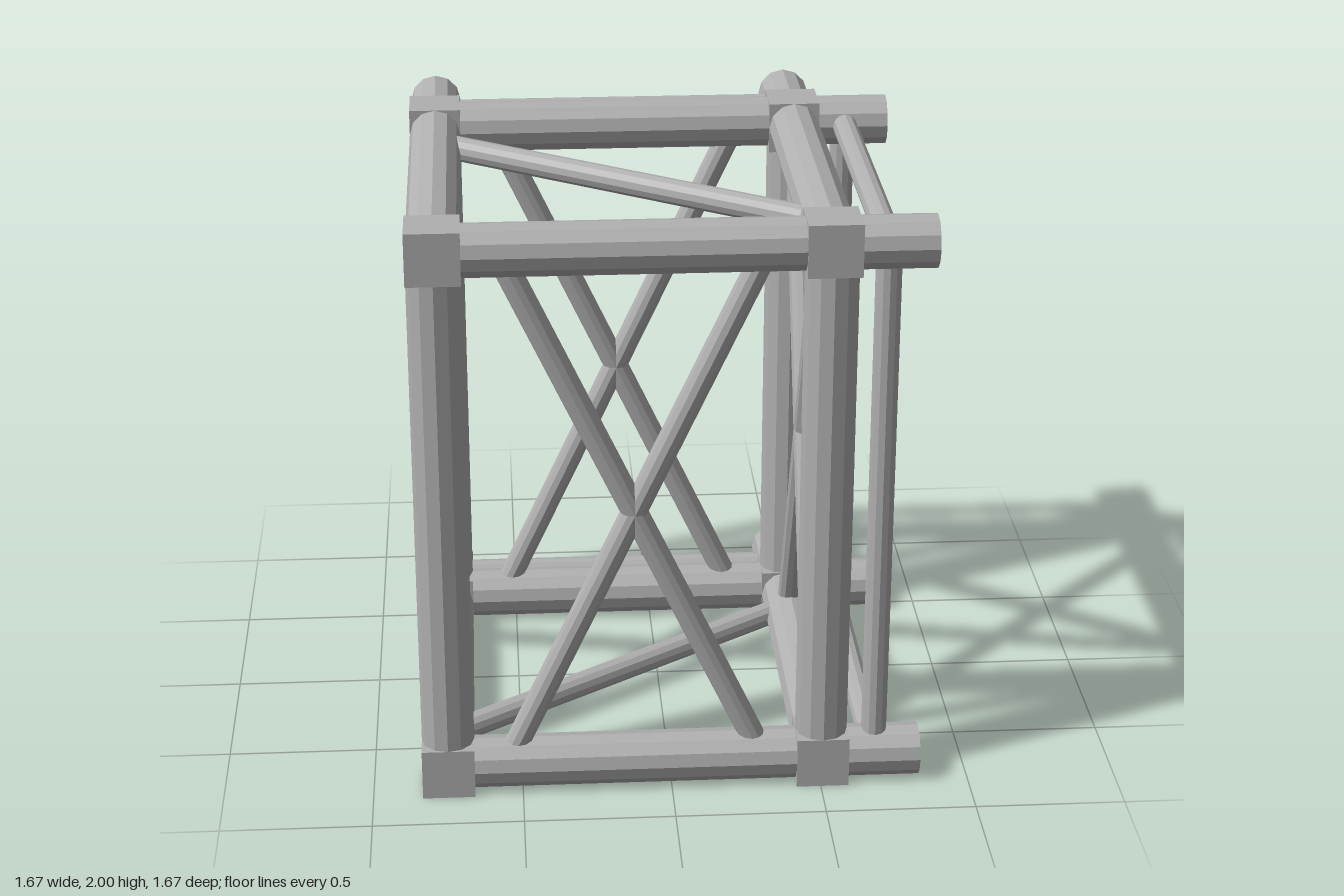
import * as THREE from 'three';

export function createModel() {
  const model = new THREE.Group();
  model.name = 'trussFrame';
  const steel = new THREE.MeshStandardMaterial({ color: 0xb0b0b0, flatShading: true });
  steel.name = 'steel grey';

  const R = 0.0875, r = 0.0425;          // main tube and thin rod radii
  const near = 0.506, far = 0.7475;      // column offsets from the centre
  const end = 0.835, rail = 0.685;       // tube ends and outer rod line
  const low = R, high = 2 - R, mid = -(far - near) / 2;
  const xs = [-far, near], zs = [far, -near], ys = [low, high];

  // Twelve-sided round bar between two points
  function bar(name, a, b, radius) {
    const p = new THREE.Vector3(...a), q = new THREE.Vector3(...b);
    const dir = q.clone().sub(p);
    const mesh = new THREE.Mesh(new THREE.CylinderGeometry(radius, radius, dir.length(), 12), steel);
    mesh.name = name;
    mesh.position.copy(p).add(q).multiplyScalar(0.5);
    mesh.quaternion.setFromUnitVectors(new THREE.Vector3(0, 1, 0), dir.normalize());
    model.add(mesh);
  }

  // Columns with a cube joint at each end
  for (const x of xs) for (const z of zs) {
    bar('column', [x, low, z], [x, high, z], R);
    for (const y of ys) {
      const joint = new THREE.Mesh(new THREE.BoxGeometry(2 * R, 2 * R, 2 * R), steel);
      joint.name = 'cornerJoint';
      joint.position.set(x, y, z);
      model.add(joint);
    }
  }

  // Main beams, running past the joints as stubs on the +x and -z sides
  for (const y of ys) {
    for (const z of zs) bar('crossBeam', [-far, y, z], [end, y, z], R);
    for (const x of xs) bar('sideBeam', [x, y, far], [x, y, -end], R);
    // Thin rods linking neighbouring stubs
    bar('sideRod', [rail, y, far], [rail, y, -near], r);
    bar('backRod', [-far, y, -rail], [near, y, -rail], r);
  }

  // Thin upright rods between upper and lower stubs
  for (const z of zs) bar('sideUpright', [rail, low, z], [rail, high, z], r);
  for (const x of xs) bar('backUpright', [x, low, -rail], [x, high, -rail], r);

  // Crossed braces on all four walls
  const lift = 0.87, run = 0.407;
  for (const s of [-1, 1]) {
    for (const z of zs)
      bar('wallBrace', [mid - s * run, 1 - lift, z], [mid + s * run, 1 + lift, z], r);
    for (const x of xs)
      bar('wallBrace', [x, 1 - lift, -mid - s * run], [x, 1 + lift, -mid + s * run], r);
  }

  // One diagonal in the roof and the opposite one in the floor
  const half = 0.6, skew = 0.42;
  bar('roofBrace', [mid - half, high, -mid - skew], [mid + half, high, -mid + skew], r);
  bar('floorBrace', [mid - half, low, -mid + skew], [mid + half, low, -mid - skew], r);

  return model;
}
